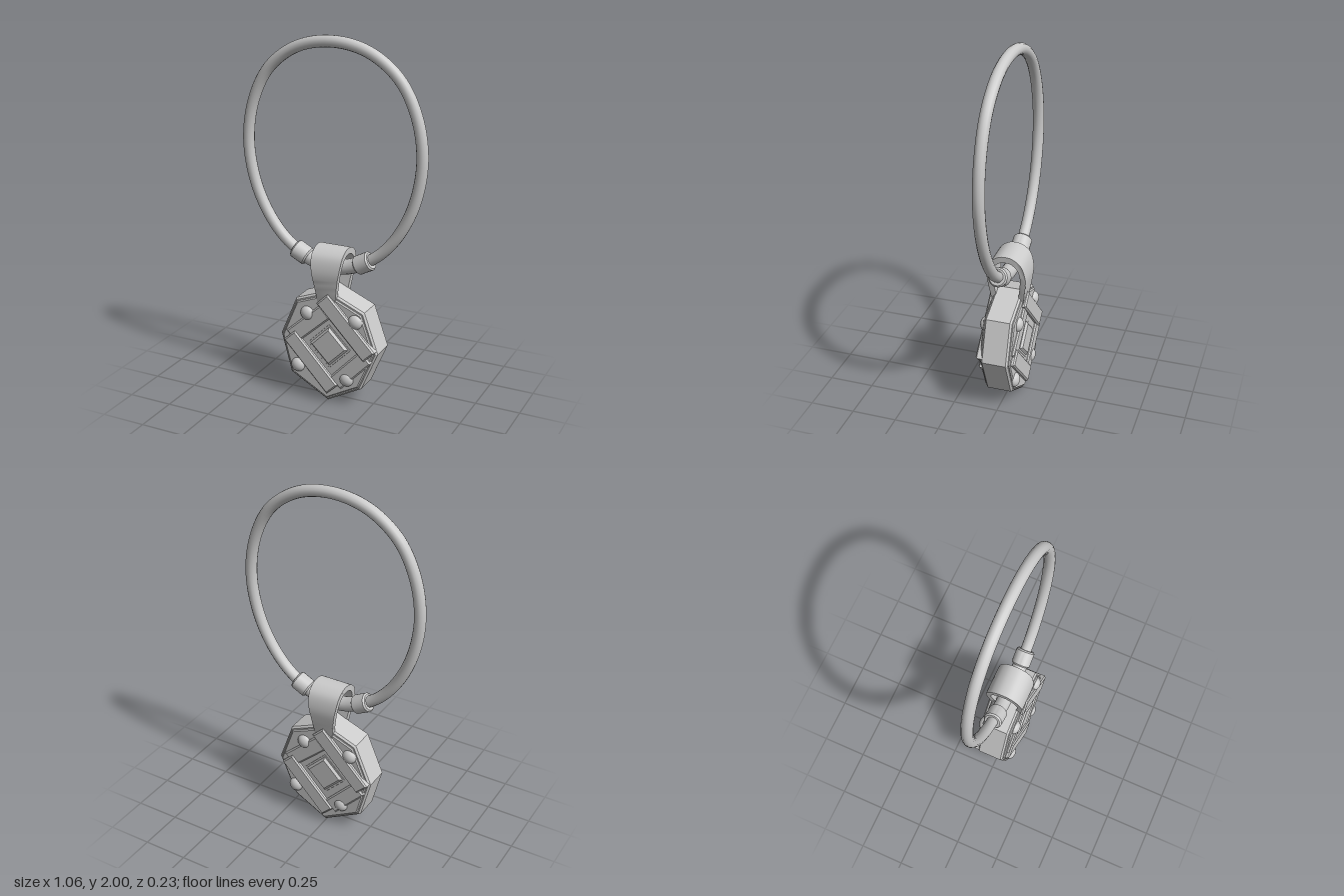
import * as THREE from 'three';
import { toCreasedNormals } from 'three/addons/utils/BufferGeometryUtils.js';

const material = new THREE.MeshStandardMaterial({ color: 0xcccccc });
const CX = 0.01, CY = 0.335;

function add(parent, name, geometry) {
  const mesh = new THREE.Mesh(geometry, material);
  mesh.name = name;
  parent.add(mesh);
  return mesh;
}

// Bevelled slab with an XY outline, spanning z0 to z1; the outline stays the outer size
function slab(points, z0, z1, bevel) {
  const shape = new THREE.Shape(points.map(([x, y]) => new THREE.Vector2(x, y)));
  const g = new THREE.ExtrudeGeometry(shape, {
    depth: z1 - z0 - 2 * bevel, bevelEnabled: true, bevelThickness: bevel,
    bevelSize: bevel, bevelOffset: -bevel, bevelSegments: 1,
  });
  return g.translate(0, 0, z0 + bevel);
}

// Flat bar between two points, given as a four-cornered outline
function barOutline([ax, ay], [bx, by], width) {
  const len = Math.hypot(bx - ax, by - ay);
  const nx = -(by - ay) / len * width / 2, ny = (bx - ax) / len * width / 2;
  return [[ax - nx, ay - ny], [bx - nx, by - ny], [bx + nx, by + ny], [ax + nx, ay + ny]];
}

function createCord() {
  const cord = new THREE.Group();
  cord.name = 'necklaceCord';
  const half = [[0.2, 1.93], [0.365, 1.81], [0.462, 1.63], [0.498, 1.41], [0.465, 1.19],
    [0.385, 1.01], [0.28, 0.88], [0.18, 0.812], [0.1, 0.782]];
  const loop = [[0, 1.969], ...half, [0, 0.768], ...half.map(([x, y]) => [-x, y]).reverse()];
  const curve = new THREE.CatmullRomCurve3(loop.map(([x, y]) => new THREE.Vector3(x, y, 0)), true);
  add(cord, 'cordLoop', new THREE.TubeGeometry(curve, 120, 0.031, 14, true));

  // Thicker sleeve running through the bail
  const lower = new THREE.CatmullRomCurve3([[-0.15, 0.798], [-0.08, 0.775], [0, 0.766], [0.08, 0.775], [0.15, 0.798]]
    .map(([x, y]) => new THREE.Vector3(x, y, 0)));
  add(cord, 'cordSleeve', new THREE.TubeGeometry(lower, 24, 0.041, 14, false));

  // Clasp cuffs either side of the bail
  const r = [[0, -0.046], [0.044, -0.046], [0.052, -0.038], [0.052, 0.038], [0.044, 0.046], [0, 0.046]];
  const cuffShape = toCreasedNormals(
    new THREE.LatheGeometry(r.map(([x, y]) => new THREE.Vector2(x, y)), 18), 0.6);
  for (const side of [-1, 1]) {
    const cuff = add(cord, side > 0 ? 'leftCuff' : 'rightCuff', cuffShape);
    cuff.position.set(side * 0.185, 0.814, 0);
    cuff.rotation.z = -side * (Math.PI / 2 - 0.48);
  }
  return cord;
}

// Strap looped over the cord, tapering down to the pendant
function createBail() {
  const outer = [[0.088, 0.58], [0.103, 0.68], [0.108, 0.76], [0.088, 0.835], [0.045, 0.873], [0, 0.883]];
  const inner = [[0.055, 0.58], [0.071, 0.68], [0.078, 0.76], [0.064, 0.814], [0.034, 0.842], [0, 0.849]];
  const arch = pts => new THREE.SplineCurve([...pts, ...pts.slice(0, -1).reverse().map(([x, y]) => [-x, y])]
    .map(([x, y]) => new THREE.Vector2(x, y))).getPoints(40);
  const shape = new THREE.Shape([...arch(outer), ...arch(inner).reverse()]);
  const g = new THREE.ExtrudeGeometry(shape, { depth: 2, bevelEnabled: false, steps: 1 });
  g.translate(0, 0, -1).rotateY(Math.PI / 2);
  const p = g.attributes.position;
  for (let i = 0; i < p.count; i++) {
    const t = THREE.MathUtils.smoothstep(p.getY(i), 0.56, 0.86);
    p.setX(i, 0.005 + p.getX(i) * (0.052 + 0.038 * t));
  }
  return toCreasedNormals(g, 0.6);
}

// Raised ornament, used on both faces of the pendant
function createFace(name) {
  const face = new THREE.Group();
  face.name = name;
  const bars = [
    ['upperLeftBar', [-0.205, 0.35], [0.0, 0.535], 0.09, 0.098],
    ['lowerRightBar', [0.24, 0.315], [0.06, 0.125], 0.09, 0.098],
    ['upperRightBar', [-0.015, 0.61], [0.262, 0.322], 0.092, 0.106],
    ['lowerLeftBar', [-0.215, 0.36], [0.045, 0.085], 0.092, 0.106],
  ];
  for (const [label, a, b, width, top] of bars) {
    add(face, label, slab(barOutline(a, b, width), 0.06, top, 0.008));
  }

  // Square centre stone with a stepped setting
  const diamond = r => [[CX + 0.012, CY - r], [CX + 0.012 + r, CY], [CX + 0.012, CY + r], [CX + 0.012 - r, CY]];
  add(face, 'stoneSetting', slab(diamond(0.135), 0.06, 0.087, 0.006));
  add(face, 'centreStone', slab(diamond(0.113), 0.06, 0.1, 0.012));

  // Domed rivets in the corners
  const dome = new THREE.SphereGeometry(0.041, 18, 8, 0, Math.PI * 2, 0, Math.PI / 2);
  dome.scale(1, 0.75, 1).rotateX(Math.PI / 2);
  for (const [x, y] of [[-0.11, 0.505], [0.175, 0.505], [-0.17, 0.185], [0.125, 0.158]]) {
    add(face, 'rivet', dome).position.set(x, y, 0.082);
  }
  return face;
}

function createPendant() {
  const pendant = new THREE.Group();
  pendant.name = 'pendant';
  const outline = [[0.005, 0], [0.205, 0.11], [0.3, 0.335], [0.22, 0.56],
    [0.01, 0.65], [-0.185, 0.575], [-0.28, 0.35], [-0.22, 0.125]];
  const scaled = s => outline.map(([x, y]) => [CX + (x - CX) * s, CY + (y - CY) * s]);
  add(pendant, 'octagonBody', slab(outline, -0.076, 0.076, 0.01));
  add(pendant, 'facePlates', slab(scaled(0.94), -0.086, 0.086, 0.006));

  // The back ornament is the front one turned half way round
  pendant.add(createFace('frontOrnament'));
  const back = createFace('backOrnament');
  back.rotation.y = Math.PI;
  back.position.x = 2 * CX;
  pendant.add(back);
  return pendant;
}

export function createModel() {
  const model = new THREE.Group();
  model.name = 'necklace';
  model.add(createCord(), createPendant());
  add(model, 'bail', createBail());
  return model;
}
